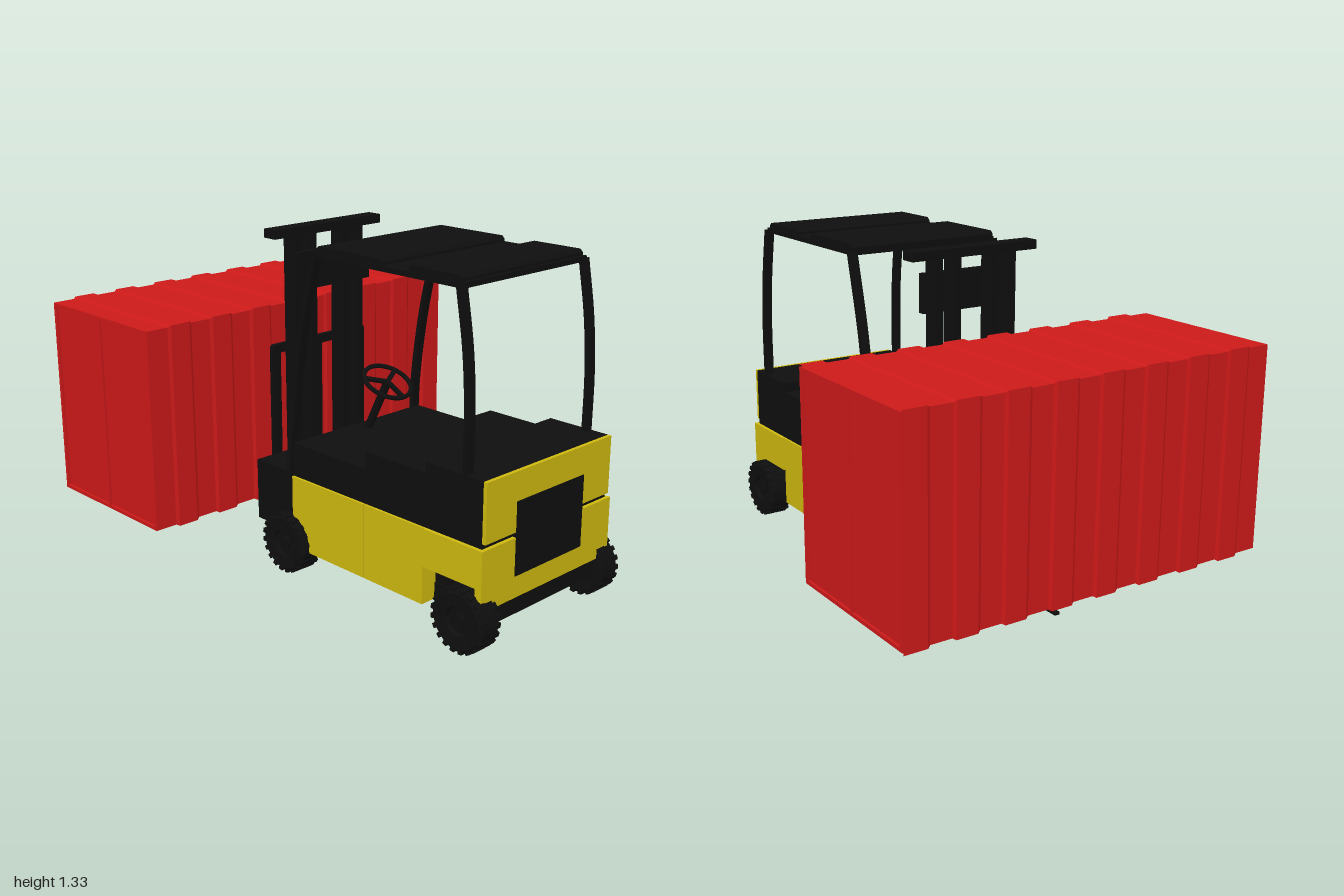
import * as THREE from 'three';

const paint = (color) => new THREE.MeshStandardMaterial({ color, flatShading: true });

export function createModel() {
  const model = new THREE.Group();
  const black = paint(0x0e0e0e), yellow = paint(0xcdb80e), red = paint(0xcc1919);

  const add = (name, geometry, material, parent = model) => {
    const mesh = new THREE.Mesh(geometry, material);
    mesh.name = name;
    parent.add(mesh);
    return mesh;
  };
  // Box given by its limits on each axis
  const box = (name, mat, x0, x1, y0, y1, z0, z1, parent = model) => {
    const m = add(name, new THREE.BoxGeometry(x1 - x0, y1 - y0, z1 - z0), mat, parent);
    m.position.set((x0 + x1) / 2, (y0 + y1) / 2, (z0 + z1) / 2);
    return m;
  };
  // Box centred on z = 0
  const slab = (name, mat, x0, x1, y0, y1, w) => box(name, mat, x0, x1, y0, y1, -w, w);

  // Chassis and body panels
  slab('underside', black, -0.02, 0.95, 0.105, 0.175, 0.29);
  slab('frontSidePanels', yellow, -0.02, 0.377, 0.11, 0.405, 0.355);
  slab('middleSidePanels', yellow, 0.383, 0.68, 0.11, 0.405, 0.355);
  slab('panelSeam', black, 0.37, 0.39, 0.115, 0.4, 0.35);
  slab('rearAxleHousing', black, 0.68, 0.945, 0.11, 0.26, 0.285);
  slab('counterweight', yellow, 0.684, 0.96, 0.26, 0.405, 0.36);
  slab('counterweightSkirt', yellow, 0.93, 0.96, 0.175, 0.26, 0.36);
  slab('frontHousing', black, -0.25, -0.02, 0.16, 0.41, 0.34);

  // Dark upper deck stepping up to the rear
  slab('floorDeck', black, -0.02, 0.38, 0.405, 0.54, 0.345);
  slab('seatDeck', black, 0.38, 0.68, 0.405, 0.61, 0.345);
  slab('rearHood', black, 0.68, 0.945, 0.405, 0.65, 0.345);
  slab('rearUpperPlate', yellow, 0.945, 0.96, 0.425, 0.65, 0.345);
  slab('rearGrille', black, 0.94, 0.964, 0.26, 0.54, 0.185);

  // Wheels with tread lugs and stepped hubs
  const tyreProfile = [[0, -0.03], [0.05, -0.03], [0.055, -0.045], [0.105, -0.048], [0.119, -0.036],
    [0.119, 0.036], [0.105, 0.048], [0.055, 0.045], [0.05, 0.03], [0, 0.03]]
    .map(([r, y]) => new THREE.Vector2(r, y));
  for (const x of [-0.045, 0.875]) {
    for (const side of [1, -1]) {
      const wheel = new THREE.Group();
      wheel.name = x < 0 ? 'frontWheel' : 'rearWheel';
      wheel.position.set(x, 0.125, side * 0.341);
      add('tyre', new THREE.LatheGeometry(tyreProfile, 32), black, wheel).rotation.x = Math.PI / 2;
      add('hub', new THREE.CylinderGeometry(0.025, 0.03, 0.08, 16), black, wheel).rotation.x = Math.PI / 2;
      for (let i = 0; i < 20; i++) {
        for (const half of [1, -1]) {
          const a = (i + (half > 0 ? 0.5 : 0)) / 20 * Math.PI * 2;
          const lug = add('treadLug', new THREE.BoxGeometry(0.012, 0.018, 0.045), black, wheel);
          lug.position.set(Math.cos(a) * 0.116, Math.sin(a) * 0.116, half * 0.024);
          lug.rotation.z = a;
        }
      }
      model.add(wheel);
    }
  }

  // Mast: outer and inner rails with cross members
  for (const side of [1, -1]) {
    for (const z of [0.165, 0.085]) {
      box('mastRail', black, -0.25, -0.185, 0.16, 1.31, side * z - 0.017, side * z + 0.017);
    }
  }
  slab('mastTopBeam', black, -0.25, -0.185, 1.3, 1.335, 0.28);
  slab('mastCrossPlate', black, -0.19, -0.16, 1.09, 1.24, 0.195);

  // Load backrest: rounded frame with bars
  const backrest = new THREE.Shape();
  backrest.moveTo(-0.25, 0.22).lineTo(0.25, 0.22).lineTo(0.25, 0.845)
    .quadraticCurveTo(0.25, 0.865, 0.23, 0.865).lineTo(-0.23, 0.865)
    .quadraticCurveTo(-0.25, 0.865, -0.25, 0.845).closePath();
  for (let i = 0; i < 4; i++) {
    const z0 = -0.21 + i * 0.11, hole = new THREE.Path();
    hole.moveTo(z0, 0.4).lineTo(z0, 0.83).lineTo(z0 + 0.09, 0.83).lineTo(z0 + 0.09, 0.4).closePath();
    backrest.holes.push(hole);
  }
  const rest = add('loadBackrest', new THREE.ExtrudeGeometry(backrest, { depth: 0.02, bevelEnabled: false }), black);
  rest.rotation.y = Math.PI / 2;
  rest.position.x = -0.267;

  // Fork
  box('forkBlade', black, -1, -0.267, 0.19, 0.2, -0.19, -0.17);
  box('forkShank', black, -0.275, -0.265, 0.19, 0.53, -0.19, -0.17);

  // Overhead guard: curved flat posts and ribbed roof
  const post = (points, side) => {
    const curve = new THREE.CatmullRomCurve3(points.map(([x, y, z]) => new THREE.Vector3(x, y, z * side)));
    const n = 16, w = 0.018, t = 0.01, pos = [], index = [];
    for (let i = 0; i <= n; i++) {
      const p = curve.getPoint(i / n), d = curve.getTangent(i / n);
      const nx = d.y * t, ny = -d.x * t;
      for (const [a, b] of [[1, 1], [1, -1], [-1, -1], [-1, 1]]) pos.push(p.x + nx * a, p.y + ny * a, p.z + w * b);
      if (i < n) {
        for (let k = 0; k < 4; k++) {
          const a = i * 4 + k, b = i * 4 + (k + 1) % 4;
          index.push(a, b, b + 4, a, b + 4, a + 4);
        }
      }
    }
    const g = new THREE.BufferGeometry();
    g.setAttribute('position', new THREE.Float32BufferAttribute(pos, 3));
    g.setIndex(index);
    g.computeVertexNormals();
    return g;
  };
  const postMaterial = black.clone();
  postMaterial.side = THREE.DoubleSide;
  for (const side of [1, -1]) {
    add('frontPost', post([[-0.04, 0.4, 0.342], [-0.022, 0.65, 0.33], [0.025, 0.97, 0.328], [0.105, 1.29, 0.326]], side), postMaterial);
    add('rearPost', post([[0.86, 0.64, 0.328], [0.86, 0.88, 0.328], [0.845, 1.08, 0.327], [0.81, 1.29, 0.326]], side), postMaterial);
  }
  slab('roofPanel', black, 0.1, 0.82, 1.28, 1.3, 0.33);
  const ridge = (x0, x1) => {
    const s = new THREE.Shape();
    s.moveTo(x0, 1.295).lineTo(x1, 1.295).lineTo(x1, 1.31).lineTo(x1 - 0.012, 1.322)
      .lineTo(x0 + 0.012, 1.322).lineTo(x0, 1.31).closePath();
    add('roofRidge', new THREE.ExtrudeGeometry(s, { depth: 0.65, bevelEnabled: false }), black).position.z = -0.325;
  };
  ridge(0.1, 0.44);
  ridge(0.57, 0.805);

  // Steering column and wheel
  const steering = new THREE.Group();
  steering.name = 'steering';
  steering.position.set(0.145, 0.75, 0);
  steering.rotation.z = -0.47;
  add('steeringColumn', new THREE.CylinderGeometry(0.017, 0.017, 0.24, 10), black, steering).position.y = -0.12;
  add('steeringRim', new THREE.TorusGeometry(0.097, 0.009, 8, 28), black, steering).rotation.x = Math.PI / 2;
  for (let i = 0; i < 3; i++) {
    const spoke = new THREE.Group();
    spoke.rotation.y = i * Math.PI * 2 / 3;
    box('steeringSpoke', black, 0, 0.095, -0.006, 0.006, -0.009, 0.009, spoke);
    steering.add(spoke);
  }
  model.add(steering);

  // Container: corrugated shell lofted along z
  const container = new THREE.Group();
  container.name = 'container';
  container.position.set(-0.652, 0.605, 0);
  const step = 1.57 / 16, slope = 0.012, rings = [], pos = [], index = [];
  for (let i = 0; i < 16; i++) {
    const inset = i % 2 ? 0.007 : 0, z = -0.785 + i * step;
    rings.push([z + (i ? slope / 2 : 0), inset], [z + step - (i < 15 ? slope / 2 : 0), inset]);
  }
  rings.forEach(([z, d], i) => {
    const w = 0.332 - d, h = 0.405 - d;
    pos.push(-w, -h, z, w, -h, z, w, h, z, -w, h, z);
    if (i) {
      for (let k = 0; k < 4; k++) {
        const a = (i - 1) * 4 + k, b = (i - 1) * 4 + (k + 1) % 4;
        index.push(a, b, b + 4, a, b + 4, a + 4);
      }
    }
  });
  const shell = new THREE.BufferGeometry();
  shell.setAttribute('position', new THREE.Float32BufferAttribute(pos, 3));
  shell.setIndex(index);
  shell.computeVertexNormals();
  add('corrugatedShell', shell, red, container);

  // Door frames and recessed doors at both ends
  const frame = new THREE.Shape();
  frame.moveTo(-0.325, -0.398).lineTo(0.325, -0.398).lineTo(0.325, 0.398).lineTo(-0.325, 0.398).closePath();
  for (const [x0, x1] of [[-0.31, -0.005], [0.005, 0.31]]) {
    const hole = new THREE.Path();
    hole.moveTo(x0, -0.384).lineTo(x0, 0.384).lineTo(x1, 0.384).lineTo(x1, -0.384).closePath();
    frame.holes.push(hole);
  }
  for (const side of [1, -1]) {
    const end = new THREE.Group();
    end.name = 'containerEnd';
    end.rotation.y = side > 0 ? 0 : Math.PI;
    add('doorFrame', new THREE.ExtrudeGeometry(frame, { depth: 0.012, bevelEnabled: false }), red, end).position.z = 0.774;
    box('doors', red, -0.324, 0.324, -0.397, 0.397, 0.765, 0.776, end);
    container.add(end);
  }
  model.add(container);

  return model;
}
